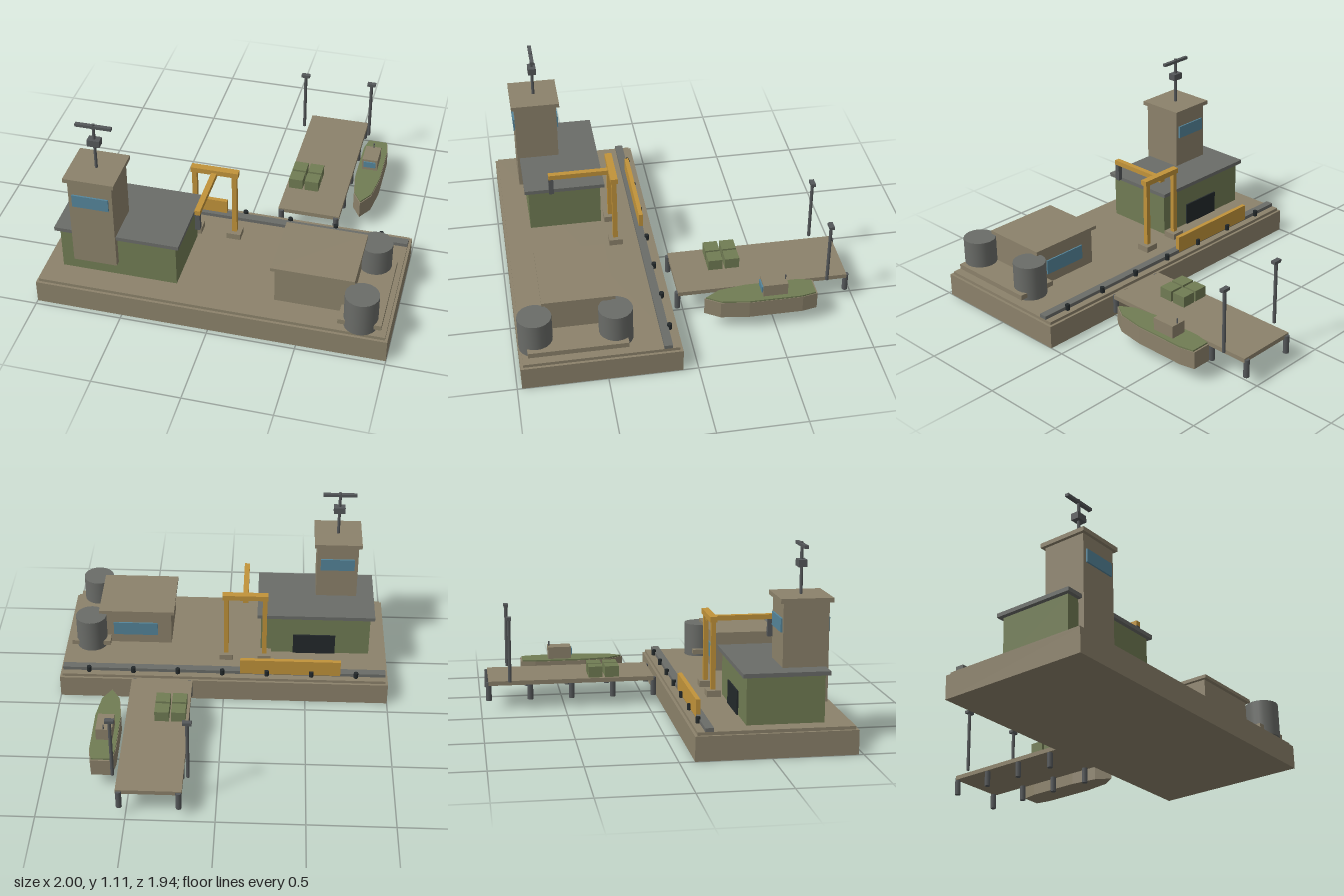
import * as THREE from 'three';

const mat = (name, color, extra = {}) => {
  const m = new THREE.MeshStandardMaterial({ color, ...extra });
  m.name = name;
  return m;
};

export function createModel() {
  const concrete = mat('concrete', 0x8c826b);
  const green = mat('olive green', 0x717c54);
  const grey = mat('roof grey', 0x6a6c68);
  const steel = mat('dark steel', 0x55585a);
  const yellow = mat('crane yellow', 0xc1933a);
  const glass = mat('window blue', 0x55859a);
  const black = mat('rubber black', 0x23292b);

  const model = new THREE.Group();
  model.name = 'harbourDock';
  let target = model;

  const group = (name) => {
    target = new THREE.Group();
    target.name = name;
    model.add(target);
  };
  const add = (name, geometry, material, x, y, z) => {
    const mesh = new THREE.Mesh(geometry, material);
    mesh.name = name;
    mesh.position.set(x, y, z);
    target.add(mesh);
    return mesh;
  };
  // Box given by its limits on each axis
  const box = (name, material, [x0, x1], [y0, y1], [z0, z1]) =>
    add(name, new THREE.BoxGeometry(x1 - x0, y1 - y0, z1 - z0), material,
      (x0 + x1) / 2, (y0 + y1) / 2, (z0 + z1) / 2);
  // Upright cylinder from y0 to y1
  const post = (name, material, r, x, z, y0, y1, sides = 8) =>
    add(name, new THREE.CylinderGeometry(r, r, y1 - y0, sides), material, x, (y0 + y1) / 2, z);

  // Quay
  group('quay');
  box('quayBase', concrete, [-1, 1], [0, 0.137], [0.085, 0.973]);
  box('quayDeck', concrete, [-0.985, 0.985], [0.137, 0.155], [0.1, 0.958]);
  box('quayRail', grey, [-0.985, 0.985], [0.155, 0.176], [0.141, 0.188]);
  for (let i = 0; i < 7; i++)
    post('bollard', black, 0.014, -0.805 + i * 0.2715, 0.134, 0.155, 0.19);
  box('barrier', yellow, [-0.71, -0.1], [0.16, 0.26], [0.139, 0.164]);

  // Warehouse
  group('warehouse');
  box('warehouseWalls', green, [-0.89, -0.22], [0.155, 0.42], [0.38, 0.81]);
  box('warehouseRoof', grey, [-0.916, -0.197], [0.42, 0.443], [0.355, 0.833]);
  box('warehouseDoor', black, [-0.68, -0.42], [0.155, 0.29], [0.371, 0.38]);

  // Control tower with mast
  group('controlTower');
  box('towerWalls', concrete, [-0.807, -0.556], [0.246, 0.8], [0.593, 0.846]);
  box('towerRoof', concrete, [-0.826, -0.537], [0.798, 0.823], [0.574, 0.864]);
  for (const [z0, z1] of [[0.846, 0.8555], [0.5835, 0.593]])
    box('towerWindow', glass, [-0.786, -0.578], [0.634, 0.711], [z0, z1]);
  post('mast', steel, 0.009, -0.681, 0.718, 0.823, 1.108);
  box('mastBox', steel, [-0.716, -0.646], [0.973, 1.013], [0.694, 0.742]);
  box('mastBar', steel, [-0.783, -0.579], [1.083, 1.1], [0.707, 0.729]);

  // Crane
  group('crane');
  for (const x of [-0.243, -0.009]) {
    box('craneFoot', concrete, [x - 0.041, x + 0.041], [0.155, 0.192], [0.28, 0.361]);
    box('cranePost', yellow, [x - 0.014, x + 0.014], [0.192, 0.59], [0.307, 0.335]);
  }
  box('craneBeam', yellow, [-0.263, 0.015], [0.588, 0.62], [0.3, 0.342]);
  box('craneArm', yellow, [-0.141, -0.109], [0.573, 0.602], [0.3, 0.693]);
  box('craneHook', steel, [-0.139, -0.111], [0.47, 0.573], [0.665, 0.693]);

  // Office
  group('office');
  box('officeWalls', concrete, [0.34, 0.77], [0.155, 0.382], [0.445, 0.808]);
  box('officeRoof', concrete, [0.32, 0.786], [0.38, 0.4], [0.424, 0.829]);
  box('officeWindow', glass, [0.425, 0.7], [0.217, 0.305], [0.436, 0.445]);

  // Storage tanks
  group('tanks');
  for (const z of [0.433, 0.876])
    post('tank', grey, 0.095, 0.837, z, 0.155, 0.362, 20);
  box('tankPlatform', concrete, [0.717, 0.957], [0.175, 0.205], [0.376, 0.928]);

  // Pier
  group('pier');
  box('pierDeck', concrete, [0.185, 0.553], [0.148, 0.174], [-0.953, 0.038]);
  for (let i = 0; i < 5; i++)
    for (const x of [0.203, 0.535])
      post('pierLeg', steel, 0.017, x, 0.039 - i * 0.248, 0.055, 0.165);
  for (const x of [0.158, 0.578]) {
    post('lampPole', steel, 0.01, x, -0.828, 0.174, 0.56);
    box('lampHead', steel, [x - 0.026, x + 0.026], [0.55, 0.568], [-0.842, -0.814]);
  }
  for (const x of [0.244, 0.341])
    for (const z of [-0.212, -0.311])
      box('crate', green, [x - 0.042, x + 0.042], [0.174, 0.24], [z - 0.042, z + 0.042]);

  // Boat: half outline from stern to bow, mirrored and extruded upward
  group('boat');
  const half = [[0.058, -0.738], [0.076, -0.65], [0.076, -0.34], [0.053, -0.18]];
  const outline = [...half, [0, -0.095], ...half.map(([x, z]) => [-x, z]).reverse()];
  const slab = (name, material, scale, y0, y1) => {
    const mid = -0.42;
    const shape = new THREE.Shape(outline.map(([x, z]) =>
      new THREE.Vector2(x * scale, -(mid + (z - mid) * scale))));
    const geometry = new THREE.ExtrudeGeometry(shape, { depth: y1 - y0, bevelEnabled: false });
    geometry.rotateX(-Math.PI / 2);
    add(name, geometry, material, 0.654, y0, 0);
  };
  slab('hull', concrete, 1, 0.09, 0.194);
  slab('boatDeck', green, 0.97, 0.194, 0.203);
  box('cabin', concrete, [0.605, 0.699], [0.203, 0.277], [-0.567, -0.425]);
  box('cabinWindow', glass, [0.615, 0.689], [0.225, 0.263], [-0.425, -0.417]);
  post('antenna', steel, 0.004, 0.654, -0.56, 0.277, 0.307, 6);

  return model;
}
